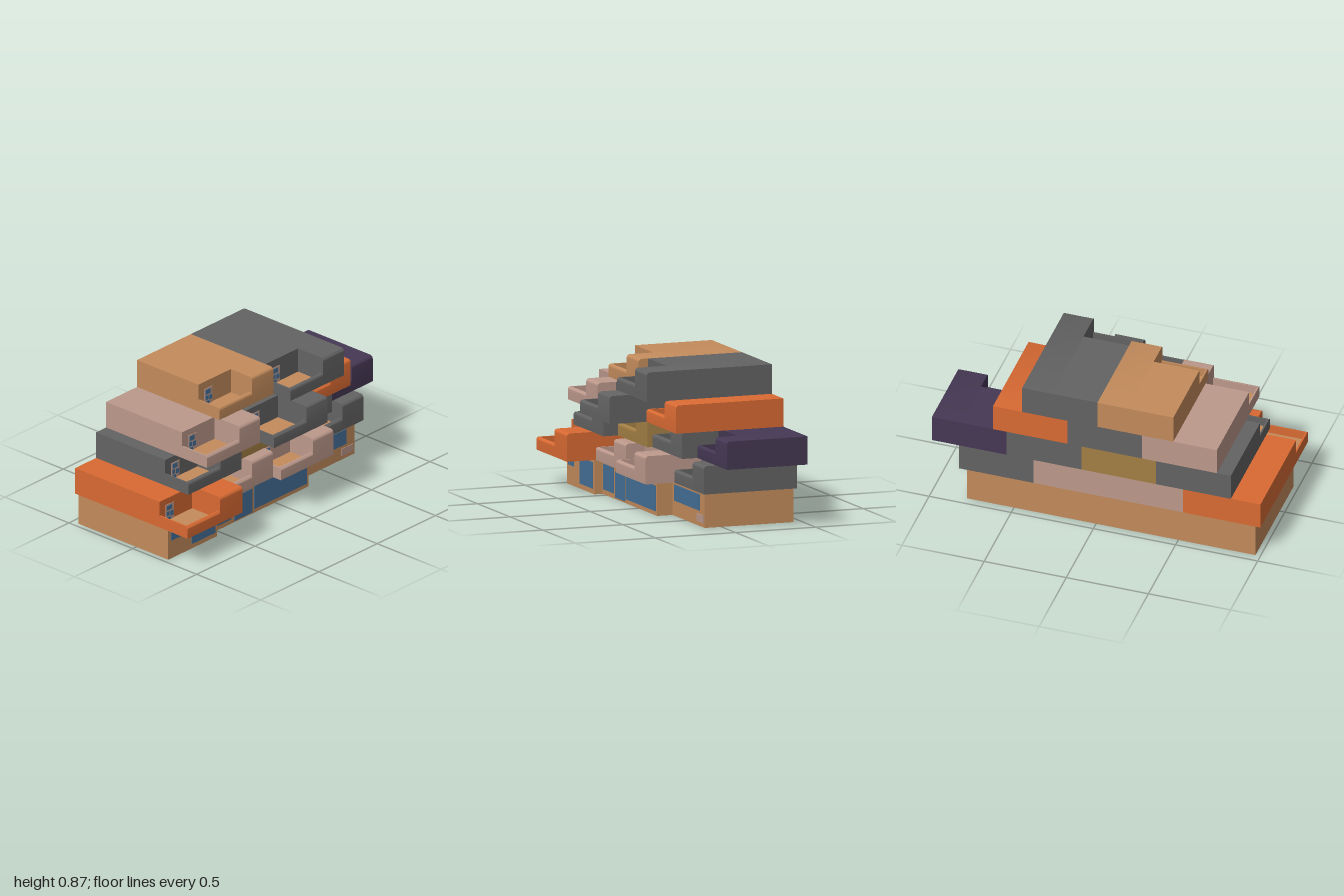
import * as THREE from 'three';
import { toCreasedNormals } from 'three/addons/utils/BufferGeometryUtils.js';

const BACK = -0.45;

function mat(name, color) {
  const m = new THREE.MeshStandardMaterial({ color });
  m.name = name;
  return m;
}

export function createModel() {
  const tan = mat('tan', 0xc48c5c);
  const grey = mat('grey', 0x636363);
  const orange = mat('orange', 0xd96a33);
  const pink = mat('pink', 0xbd998c);
  const mustard = mat('mustard', 0xa48044);
  const purple = mat('purple', 0x453854);
  const blue = mat('blue', 0x457199);

  const model = new THREE.Group();
  model.name = 'terracedBuilding';

  // Box given by its limits on each axis
  function box(parent, name, material, x0, x1, y0, y1, z0, z1) {
    const mesh = new THREE.Mesh(new THREE.BoxGeometry(x1 - x0, y1 - y0, z1 - z0), material);
    mesh.position.set((x0 + x1) / 2, (y0 + y1) / 2, (z0 + z1) / 2);
    mesh.name = name;
    parent.add(mesh);
  }

  // Block with a rounded upper front edge
  function roundedBlock(parent, name, material, x0, x1, y0, y1, z0, z1, r) {
    const s = new THREE.Shape();
    s.moveTo(z0, y0);
    s.lineTo(z1, y0);
    s.lineTo(z1, y1 - r);
    s.absarc(z1 - r, y1 - r, r, 0, Math.PI / 2, false);
    s.lineTo(z0, y1);
    s.closePath();
    const g = new THREE.ExtrudeGeometry(s, { depth: x1 - x0, bevelEnabled: false, curveSegments: 4 });
    g.rotateY(-Math.PI / 2).translate(x1, 0, 0);
    const mesh = new THREE.Mesh(toCreasedNormals(g, 0.6), material);
    mesh.name = name;
    parent.add(mesh);
  }

  // Thin plate on a wall facing +z
  function plate(parent, name, material, x0, x1, y0, y1, z, t = 0.004) {
    box(parent, name, material, x0, x1, y0, y1, z, z + t);
  }

  // Apartment: main body, full-height bay, and a balcony in the corner
  function apartment(material, x0, x1, y0, y1, notch, front) {
    const g = new THREE.Group();
    g.name = 'apartment';
    const bay = x0 + 0.278, rail = y0 + 0.075, floor = y0 + 0.02;
    box(g, 'body', material, x0, bay, y0, y1, BACK, notch);
    roundedBlock(g, 'bay', material, bay, x1, y0, y1, BACK, front, 0.02);
    box(g, 'balconySlab', material, x0, bay, y0, floor, notch, front - 0.018);
    plateFloor(g, x0 + 0.01, bay, floor, notch, front - 0.018);
    roundedBlock(g, 'frontParapet', material, x0, bay, y0, rail, front - 0.02, front, 0.016);
    box(g, 'sideParapet', material, x0, x0 + 0.01, y0, rail, notch, front - 0.02);
    // Balcony door with staggered panes
    plate(g, 'balconyDoor', pink, x0 + 0.05, x0 + 0.118, floor, y0 + 0.125, notch);
    const panes = [[0.058, 0.09, 0.04, 0.028], [0.056, 0.055, 0.022, 0.026],
      [0.086, 0.048, 0.024, 0.03], [0.06, 0.026, 0.026, 0.02]];
    for (const [px, py, w, h] of panes) {
      plate(g, 'balconyPane', blue, x0 + px, x0 + px + w, y0 + py, y0 + py + h, notch + 0.003);
    }
    model.add(g);
  }

  function plateFloor(parent, x0, x1, y, z0, z1) {
    box(parent, 'balconyFloor', tan, x0, x1, y, y + 0.004, z0, z1);
  }

  // Storeys: colour, left edge, right edge, balcony back, front
  const storeys = [
    [0.205, 0.37, [
      [orange, -1, -0.53, 0.21, 0.43], [pink, -0.53, -0.07, 0.07, 0.25],
      [pink, -0.07, 0.38, 0.13, 0.31], [grey, 0.38, 0.835, -0.04, 0.13]]],
    [0.37, 0.535, [
      [grey, -0.82, -0.365, 0.09, 0.27], [mustard, -0.365, 0.09, 0, 0.18],
      [grey, 0.09, 0.545, -0.02, 0.148], [purple, 0.545, 1, -0.08, 0.053]]],
    [0.535, 0.7, [
      [pink, -0.735, -0.28, 0.145, 0.34], [grey, -0.28, 0.175, 0.225, 0.45],
      [orange, 0.175, 0.628, 0.04, 0.22]]],
    [0.7, 0.873, [
      [tan, -0.47, -0.008, 0.03, 0.195], [grey, -0.008, 0.45, 0.135, 0.33]]],
  ];
  for (const [y0, y1, units] of storeys) {
    for (const [m, x0, x1, notch, front] of units) apartment(m, x0, x1, y0, y1, notch, front);
  }

  // Ground floor in three sections of different depth
  const base = new THREE.Group();
  base.name = 'groundFloor';
  box(base, 'shopLeft', tan, -0.97, -0.55, 0, 0.205, BACK, 0.25);
  box(base, 'shopMiddle', tan, -0.55, 0.29, 0, 0.205, BACK, 0.2);
  box(base, 'shopRight', tan, 0.29, 0.785, 0, 0.205, BACK, 0.105);
  const windows = [
    [-0.945, -0.865, 0.115, 0.185, 0.25], [-0.77, -0.57, 0.03, 0.185, 0.25],
    [-0.53, -0.375, 0.03, 0.18, 0.2], [-0.35, -0.195, 0.01, 0.163, 0.2],
    [-0.18, 0.272, 0.025, 0.175, 0.2], [0.325, 0.712, 0.09, 0.185, 0.105],
  ];
  for (const [x0, x1, y0, y1, z] of windows) plate(base, 'shopWindow', blue, x0, x1, y0, y1, z);
  plate(base, 'wallPanel', pink, 0.67, 0.77, 0.025, 0.07, 0.105);
  model.add(base);

  return model;
}
